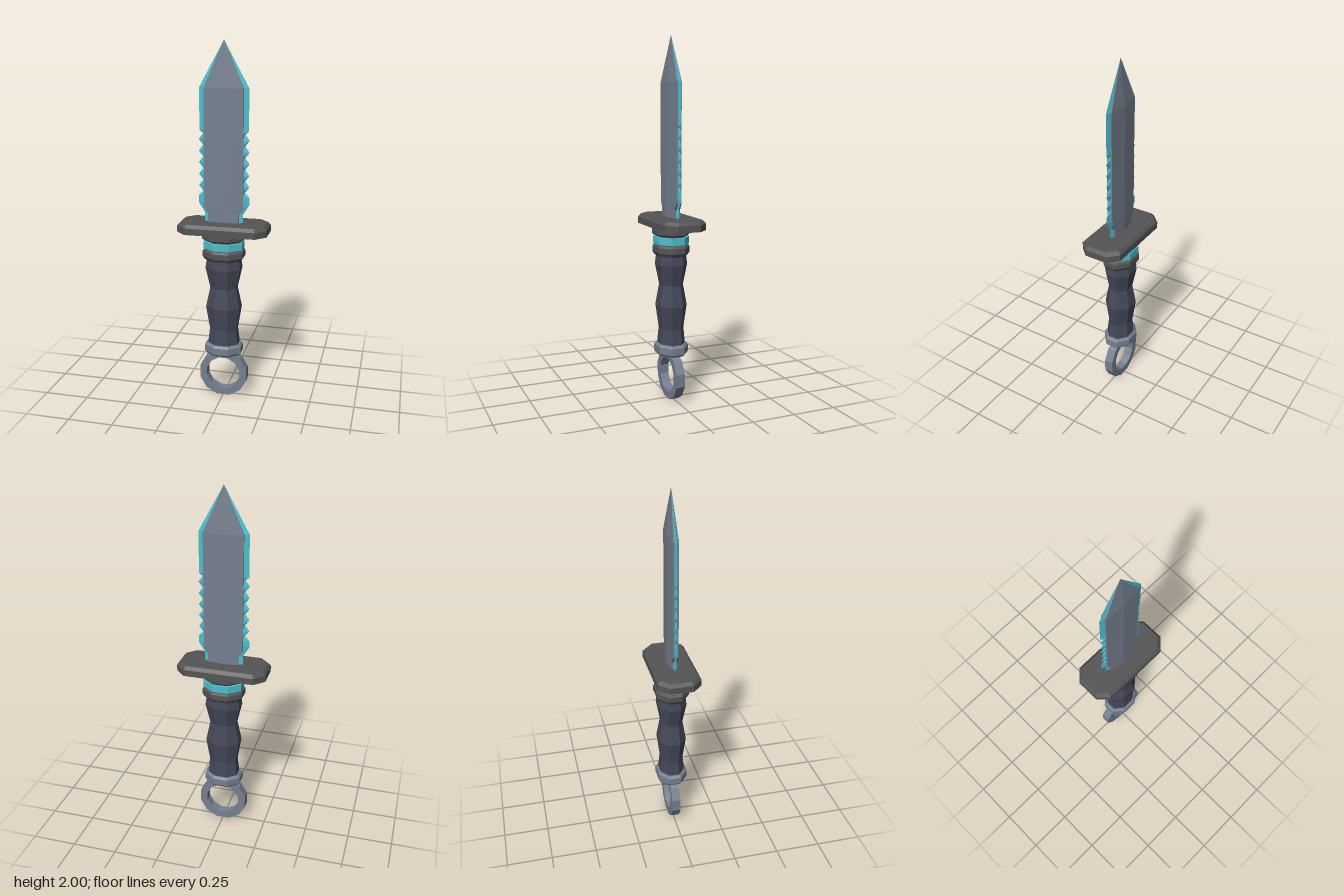
import * as THREE from 'three';

const mat = (name, color) => {
  const m = new THREE.MeshStandardMaterial({ color });
  m.name = name;
  return m;
};

// Skin a stack of { y, pts: [[x, z], ...] } sections with flat faces and end caps
function loft(sections) {
  const n = sections[0].pts.length, pos = [], index = [];
  for (const s of sections) for (const [x, z] of s.pts) pos.push(x, s.y, z);
  for (let i = 0; i < sections.length - 1; i++) {
    for (let j = 0; j < n; j++) {
      const a = i * n + j, b = i * n + (j + 1) % n;
      index.push(a, a + n, b, b, a + n, b + n);
    }
  }
  const top = (sections.length - 1) * n;
  for (let j = 1; j < n - 1; j++) {
    index.push(0, j, j + 1, top, top + j + 1, top + j);
  }
  const g = new THREE.BufferGeometry();
  g.setAttribute('position', new THREE.Float32BufferAttribute(pos, 3));
  g.setIndex(index);
  const flat = g.toNonIndexed();
  flat.computeVertexNormals();
  return flat;
}

// Octagon with flats at +-x and +-z; profile rows are [half width, y]
const DEPTH = 0.81;
const octagon = (profile) => loft(profile.map(([r, y]) => ({
  y,
  pts: Array.from({ length: 8 }, (_, k) => {
    const a = Math.PI / 8 + k * Math.PI / 4, R = r / Math.cos(Math.PI / 8);
    return [R * Math.cos(a), R * Math.sin(a) * DEPTH];
  }),
})));

// Rectangle with cut corners
const cutRect = (w, d, c) => [
  [w, d - c], [w - c, d], [c - w, d], [-w, d - c],
  [-w, c - d], [c - w, -d], [w - c, -d], [w, c - d],
];

export function createModel() {
  const steel = mat('steel', 0x768090);
  const teal = mat('teal', 0x4cc0d0);
  const dark = mat('dark metal', 0x565555);
  const grip = mat('grip', 0x454859);

  const model = new THREE.Group();
  model.name = 'dagger';
  const add = (name, geometry, material) => {
    const m = new THREE.Mesh(geometry, material);
    m.name = name;
    model.add(m);
    return m;
  };

  // Pommel ring: twelve-sided, standing on a flat
  const ringPoints = (apothem) => Array.from({ length: 12 }, (_, k) => {
    const a = Math.PI / 12 + k * Math.PI / 6, r = apothem / Math.cos(Math.PI / 12);
    return new THREE.Vector2(r * Math.cos(a), r * Math.sin(a));
  });
  const ringShape = new THREE.Shape(ringPoints(0.135));
  ringShape.holes.push(new THREE.Path(ringPoints(0.094)));
  const ringGeo = new THREE.ExtrudeGeometry(ringShape, { depth: 0.05, bevelEnabled: false });
  add('pommelRing', ringGeo.translate(0, 0.135, -0.025), steel);

  // Handle stack
  add('pommelCollar', octagon([[0.094, 0.26], [0.104, 0.272], [0.104, 0.31], [0.092, 0.322]]), steel);
  add('handle', octagon([[0.086, 0.315], [0.076, 0.41], [0.096, 0.54], [0.073, 0.655],
    [0.098, 0.77], [0.09, 0.83]]), grip);
  add('lowerCollar', octagon([[0.1, 0.82], [0.113, 0.838], [0.113, 0.868], [0.106, 0.878]]), dark);
  add('collarCore', octagon([[0.092, 0.87], [0.092, 0.985]]), dark);
  add('glowRing', octagon([[0.108, 0.884], [0.108, 0.924]]), teal);
  add('upperCollar', octagon([[0.104, 0.93], [0.115, 0.94], [0.115, 0.98]]), dark);

  // Guard plate with bevelled upper rim
  add('guard', loft([
    { y: 0.976, pts: cutRect(0.248, 0.119, 0.054) },
    { y: 1.012, pts: cutRect(0.248, 0.119, 0.054) },
    { y: 1.03, pts: cutRect(0.233, 0.104, 0.048) },
  ]), dark);

  // Steel blade: rows are [y, half width, edge thickness, ridge thickness]
  const bladeRows = [
    [1.02, 0.085, 0.016, 0.025], [1.075, 0.085, 0.016, 0.025], [1.11, 0.108, 0.015, 0.025],
    [1.755, 0.108, 0.015, 0.024], [2, 0, 0, 0],
  ];
  add('blade', loft(bladeRows.map(([y, w, e, r]) => ({
    y, pts: [[w, -e], [w, e], [0, r], [-w, e], [-w, -e], [0, -r]],
  }))), steel);

  // Sharp serrated edge: rows are [y, outer half width, inner half width]
  const edgeRows = [[1.02, 0.107, 0.08], [1.08, 0.107, 0.08], [1.135, 0.142, 0.1], [1.172, 0.142, 0.1]];
  for (let k = 0; k < 5; k++) {
    const y = 1.2 + k * 0.063;
    edgeRows.push([y, 0.116, 0.1], [y + 0.03, 0.139, 0.1]);
  }
  edgeRows.push([1.515, 0.116, 0.1], [1.53, 0.135, 0.1], [1.755, 0.135, 0.1], [2, 0, 0]);
  add('cuttingEdge', loft(edgeRows.map(([y, w, v]) => {
    const t = v * 0.1;
    return { y, pts: [[w, 0], [v, t], [-v, t], [-w, 0], [-v, -t], [v, -t]] };
  })), teal);

  return model;
}
